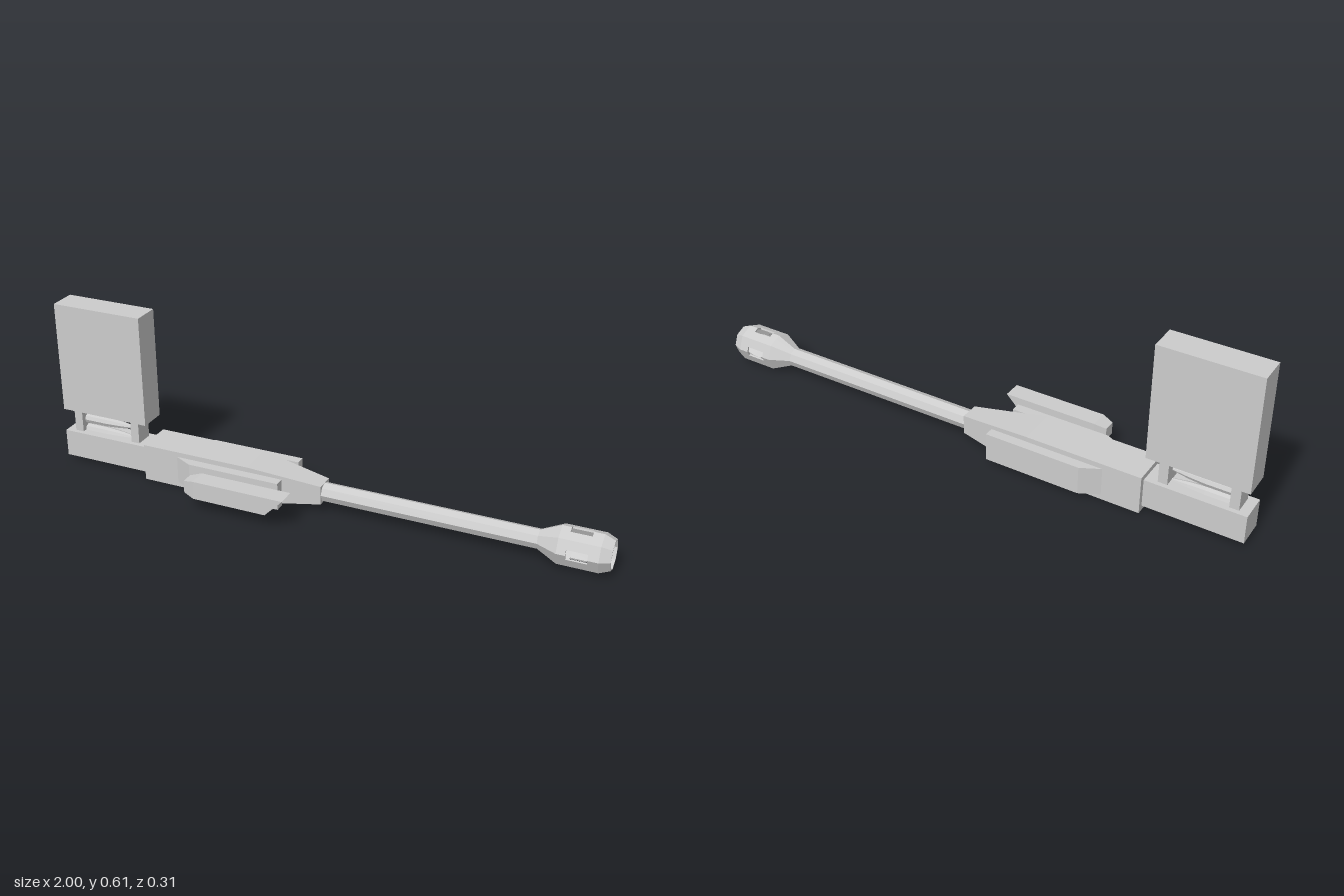
import * as THREE from 'three';

const AXIS_Y = 0.07, AXIS_Z = -0.052;
const grey = new THREE.MeshStandardMaterial({ color: 0xcccccc, flatShading: true });
const greyDouble = new THREE.MeshStandardMaterial({ color: 0xcccccc, flatShading: true, side: THREE.DoubleSide });

// Flat-shaded geometry from a list of corner points, three per triangle
function facets(points) {
  const g = new THREE.BufferGeometry().setFromPoints(points);
  g.computeVertexNormals();
  return g;
}

const quad = (a, b, c, d) => [a, b, c, a, c, d];

// Skin a series of closed rings along x, capping the ends when asked
function loft(rings, { startCap = true, endCap = true, skip = () => false } = {}) {
  const pts = [];
  const n = rings[0].length;
  for (let r = 0; r < rings.length - 1; r++) {
    for (let i = 0; i < n; i++) {
      const j = (i + 1) % n;
      if (!skip(r, i)) pts.push(...quad(rings[r][i], rings[r][j], rings[r + 1][j], rings[r + 1][i]));
    }
  }
  const first = rings[0], last = rings[rings.length - 1];
  for (let i = 1; i < n - 1; i++) {
    if (startCap) pts.push(first[0], first[i + 1], first[i]);
    if (endCap) pts.push(last[0], last[i], last[i + 1]);
  }
  return facets(pts);
}

// Square ring; lean pulls the lower corners back along x
function squareRing(x, half, cy, cz, lean = 0) {
  return [[1, -1], [1, 1], [-1, 1], [-1, -1]].map(([sy, sz]) =>
    new THREE.Vector3(x - (sy < 0 ? lean : 0), cy + sy * half, cz + sz * half));
}

// Octagon with corners on the axes and two extra points per side quarter,
// so slots can be cut around each axis corner
function slottedRing(x, radius) {
  const corner = (k) => new THREE.Vector3(
    x, AXIS_Y + radius * Math.cos(k * Math.PI / 4), AXIS_Z + radius * Math.sin(k * Math.PI / 4));
  const ring = [];
  for (let k = 0; k < 8; k += 2) {
    const a = corner(k), b = corner(k + 1), c = corner(k + 2);
    ring.push(a, a.clone().lerp(b, 0.37), b, c.clone().lerp(b, 0.37));
  }
  return ring;
}

export function createModel() {
  const model = new THREE.Group();
  const add = (name, geometry, material = grey) => {
    const mesh = new THREE.Mesh(geometry, material);
    mesh.name = name;
    model.add(mesh);
    return mesh;
  };
  const box = (name, x0, x1, y0, y1, depth) =>
    add(name, new THREE.BoxGeometry(x1 - x0, y1 - y0, depth))
      .position.set((x0 + x1) / 2, (y0 + y1) / 2, AXIS_Z);

  // Rear block, magazine and the posts holding it up
  box('rearBlock', -1, -0.66, 0.02, 0.12, 0.1);
  box('magazine', -1, -0.66, 0.205, 0.61, 0.1);
  box('rearPost', -0.967, -0.935, 0.12, 0.205, 0.068);
  box('frontPost', -0.732, -0.7, 0.12, 0.205, 0.068);

  // Pointed rounds feeding down between the posts
  const roundProfile = [[0, 0], [0.018, 0], [0.018, 0.09], [0.013, 0.15], [0.005, 0.203], [0, 0.205]]
    .map(([r, l]) => new THREE.Vector2(r, l));
  for (const y of [0.12, 0.161, 0.202]) {
    const round = add('round', new THREE.LatheGeometry(roundProfile, 8));
    round.rotation.z = -Math.PI / 2;
    round.position.set(-0.936, y, AXIS_Z);
  }

  // Receiver with tapered nose
  add('receiver', loft([
    squareRing(-0.66, 0.068, AXIS_Y, AXIS_Z),
    squareRing(-0.25, 0.068, AXIS_Y, AXIS_Z),
    squareRing(0.01, 0.034, AXIS_Y, AXIS_Z),
  ]));

  // Side panels, sloped at the rear
  for (const side of [1, -1]) {
    const outline = [[-0.53, 0.066], [-0.46, 0.102], [-0.12, 0.102], [-0.12, 0.068]]
      .map(([x, z]) => new THREE.Vector2(x, -z * side));
    const panel = new THREE.ExtrudeGeometry(new THREE.Shape(outline), { depth: 0.1, bevelEnabled: false });
    panel.rotateX(-Math.PI / 2).translate(0, 0.02, AXIS_Z);
    add(side > 0 ? 'frontPanel' : 'backPanel', panel);
  }

  // Free-standing sight pod with a slanted hood and a recessed faceted lens
  const podY = 0.086, podZ = 0.118;
  add('sightPod', loft([
    squareRing(-0.43, 0.022, podY, podZ),
    squareRing(-0.39, 0.033, podY, podZ),
    squareRing(-0.055, 0.033, podY, podZ, 0.065),
    squareRing(-0.062, 0.026, podY, podZ, 0.051),
    squareRing(-0.2, 0.026, podY, podZ),
    squareRing(-0.15, 0.013, podY, podZ),
  ]));

  // Octagonal barrel
  const barrel = add('barrel', new THREE.CylinderGeometry(0.034, 0.034, 0.78, 8, 1, true));
  barrel.rotation.z = -Math.PI / 2;
  barrel.position.set(0.38, AXIS_Y, AXIS_Z);

  // Muzzle brake: outer skin, rim, then the inner skin back to the bore
  const outer = 0.068, inner = 0.061;
  const rings = [
    [0.76, 0.034], [0.83, outer], [0.86, outer], [0.93, outer], [0.965, outer], [1, 0.053],
    [1, 0.049], [0.96, inner], [0.93, inner], [0.86, inner], [0.835, inner], [0.77, 0.03], [0.7, 0],
  ].map(([x, r]) => slottedRing(x, r));
  const isSlot = (r, i) => (r === 2 || r === 8) && (i % 4 === 0 || i % 4 === 3);
  add('muzzleBrake', loft(rings, { startCap: false, endCap: false, skip: isSlot }), greyDouble);

  // Walls joining the two skins around each slot
  const walls = [];
  const [outA, outB, inB, inA] = [rings[2], rings[3], rings[8], rings[9]];
  for (let k = 0; k < 16; k += 4) {
    const before = (k + 15) % 16, after = k + 1;
    for (const e of [before, after]) walls.push(...quad(outA[e], outB[e], inB[e], inA[e]));
    for (const [o, n] of [[outA, inA], [outB, inB]]) {
      walls.push(...quad(o[before], o[k], n[k], n[before]), ...quad(o[k], o[after], n[after], n[k]));
    }
  }
  add('slotWalls', facets(walls), greyDouble);

  return model;
}
